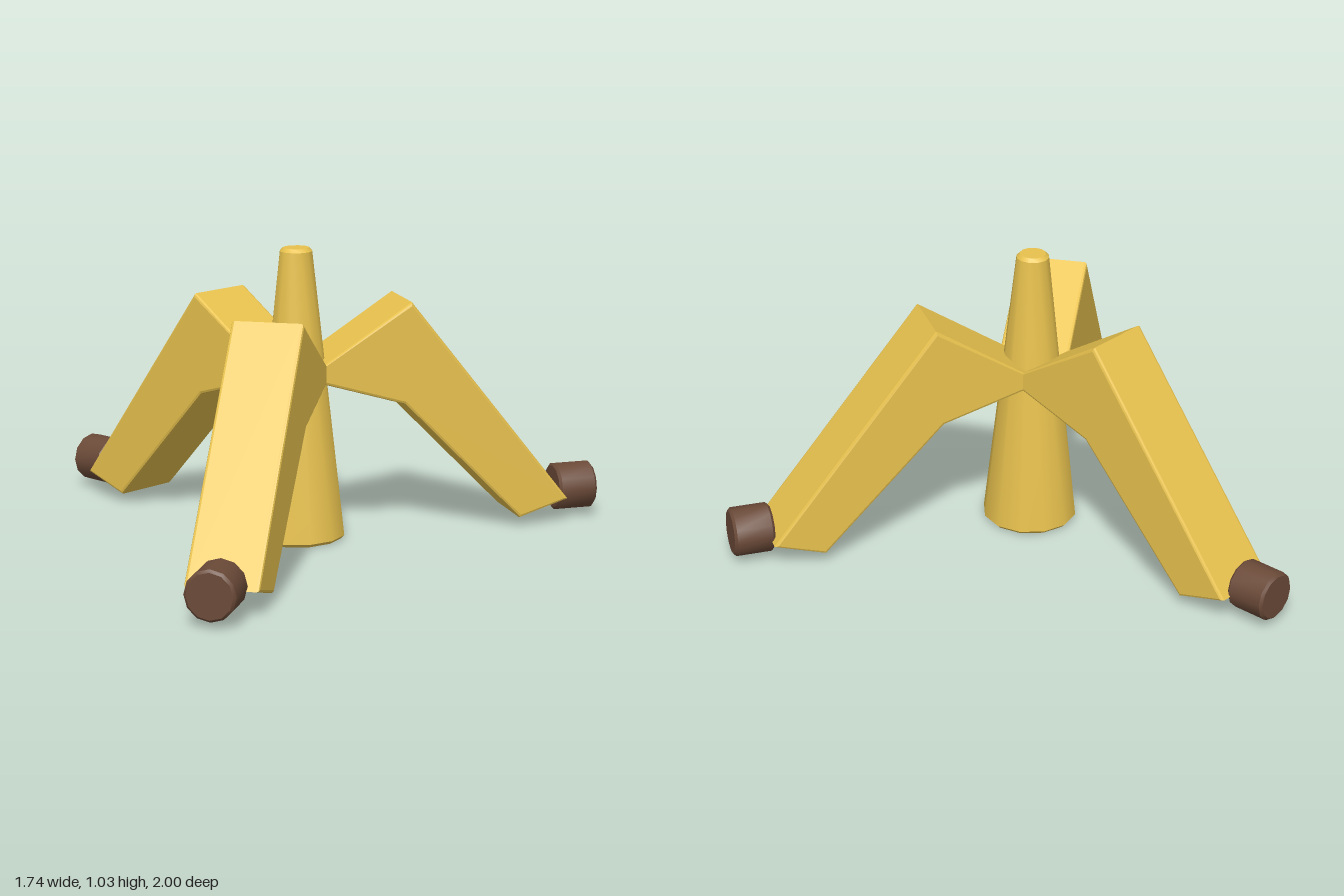
import * as THREE from 'three';
import { toCreasedNormals } from 'three/addons/utils/BufferGeometryUtils.js';

const SIDES = 12;
const CENTRE_X = -0.245;
const yellow = new THREE.MeshStandardMaterial({ color: 0xe8c24e });
const brown = new THREE.MeshStandardMaterial({ color: 0x6b4a38 });

// Tapered cylinder with small chamfered rims, standing on y = 0
function chamferedCylinder(rBottom, rTop, height, c) {
  const profile = [
    [0, 0], [rBottom - c, 0], [rBottom, c],
    [rTop, height - c], [rTop - c, height], [0, height],
  ].map(([r, y]) => new THREE.Vector2(r, y));
  return toCreasedNormals(new THREE.LatheGeometry(profile, SIDES, Math.PI / 2), 0.6);
}

// Bent leg: side profile (distance from the hub, height) given a width
function legGeometry() {
  const shape = new THREE.Shape([
    [0, 0.588], [0.359, 0.48], [0.795, 0.033], [0.979, 0.09], [0.385, 0.842], [0, 0.592],
  ].map(([r, y]) => new THREE.Vector2(r, y)));
  const width = 0.25, bevel = 0.01;
  const geo = new THREE.ExtrudeGeometry(shape, {
    depth: width - 2 * bevel,
    bevelEnabled: true, bevelSize: bevel, bevelThickness: bevel,
    bevelOffset: -bevel, bevelSegments: 2,
  });
  geo.translate(0, 0, -width / 2 + bevel);
  return geo;
}

export function createModel() {
  const model = new THREE.Group();
  model.name = 'tripodStand';

  // Central tapered post
  const post = new THREE.Mesh(chamferedCylinder(0.17, 0.058, 1.035, 0.012), yellow);
  post.name = 'centralPost';
  post.position.x = CENTRE_X;
  model.add(post);

  // Foot cap lies along the leg direction
  const legGeo = legGeometry();
  const footGeo = chamferedCylinder(0.087, 0.087, 0.145, 0.009);
  footGeo.rotateZ(-Math.PI / 2);
  footGeo.translate(0.965, 0.107, 0);

  // Three legs, evenly spaced around the post
  for (let i = 0; i < 3; i++) {
    const arm = new THREE.Group();
    arm.name = `legAssembly${i + 1}`;
    const leg = new THREE.Mesh(legGeo, yellow);
    leg.name = 'leg';
    const foot = new THREE.Mesh(footGeo, brown);
    foot.name = 'foot';
    arm.add(leg, foot);
    arm.position.x = CENTRE_X;
    arm.rotation.y = (i * 2 * Math.PI) / 3;
    model.add(arm);
  }
  return model;
}
